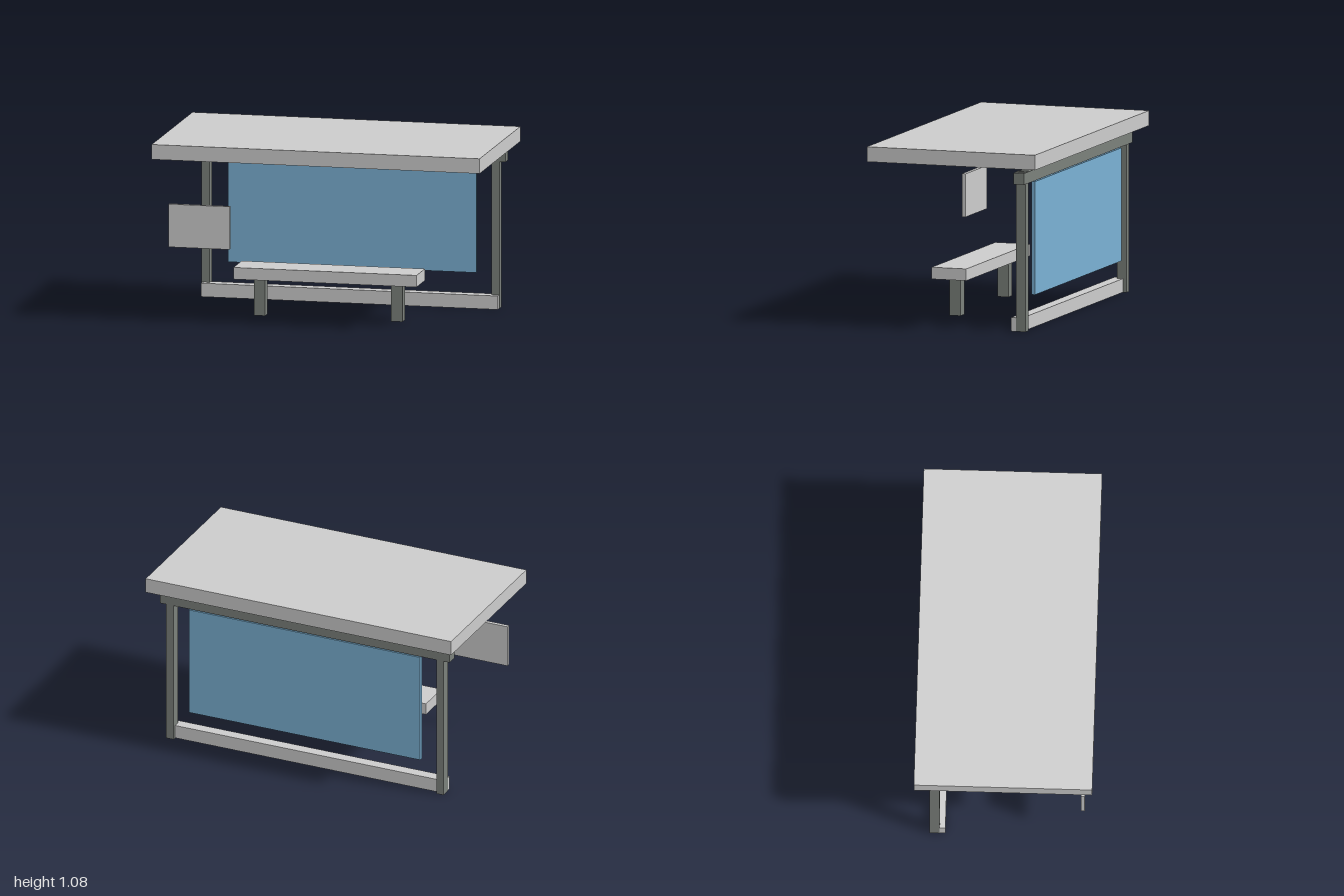
import * as THREE from 'three';

const grey = new THREE.MeshStandardMaterial({ color: 0xcccccc });
const steel = new THREE.MeshStandardMaterial({ color: 0x7b807b });
const glass = new THREE.MeshStandardMaterial({ color: 0x7ab0d3 });

export function createModel() {
  const shelter = new THREE.Group();
  shelter.name = 'busShelter';

  // Adds a box given its [min, max] extent along each axis
  function addBox(name, material, [x0, x1], [y0, y1], [z0, z1]) {
    const mesh = new THREE.Mesh(new THREE.BoxGeometry(x1 - x0, y1 - y0, z1 - z0), material);
    mesh.position.set((x0 + x1) / 2, (y0 + y1) / 2, (z0 + z1) / 2);
    mesh.name = name;
    shelter.add(mesh);
  }

  // Roof slab and the beam below it
  addBox('roof', grey, [-1, 1], [0.987, 1.077], [-0.53, 0.53]);
  addBox('topBeam', steel, [-0.95, 0.946], [0.888, 0.956], [-0.443, -0.375]);

  // Back wall: glass pane and ground sill
  addBox('glassPane', glass, [-0.757, 0.757], [0.203, 0.882], [-0.443, -0.42]);
  addBox('groundSill', grey, [-0.905, 0.905], [0, 0.082], [-0.415, -0.345]);

  // Bench seat and hanging sign panel
  addBox('benchSeat', grey, [-0.56, 0.557], [0.236, 0.307], [0.063, 0.281]);
  addBox('signPanel', grey, [-0.908, -0.535], [0.453, 0.712], [0.46, 0.483]);

  // Mirrored posts and bench legs
  for (const [side, s] of [['left', 1], ['right', -1]]) {
    const span = (centre, width) => [s * centre - width / 2, s * centre + width / 2];
    addBox(side + 'Post', steel, span(0.884, 0.048), [0, 0.961], [-0.438, -0.379]);
    addBox(side + 'BenchLeg', steel, span(0.419, 0.068), [0.008, 0.236], [0.137, 0.205]);
  }

  return shelter;
}
